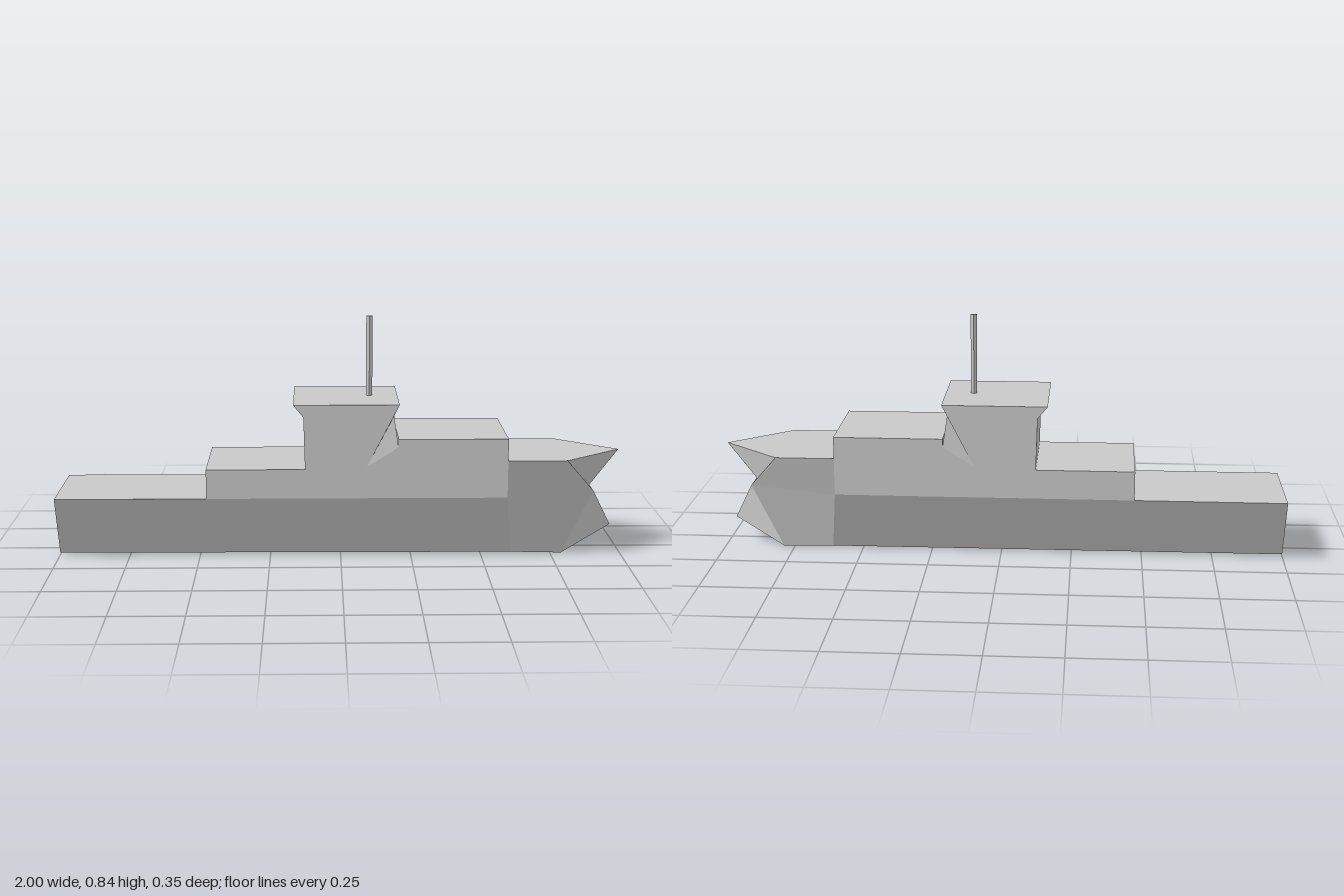
import * as THREE from 'three';

const paint = new THREE.MeshStandardMaterial({ color: 0xc8c8c8 });
paint.name = 'hull grey';

// Flat polygons, each with one shared normal turned towards its "out" direction.
function faces(name, list) {
  const pos = [], nor = [];
  for (let [out, ...pts] of list) {
    const n = new THREE.Vector3();
    pts.forEach((p, i) => {
      const q = pts[(i + 1) % pts.length];
      n.x += (p[1] - q[1]) * (p[2] + q[2]);
      n.y += (p[2] - q[2]) * (p[0] + q[0]);
      n.z += (p[0] - q[0]) * (p[1] + q[1]);
    });
    if (n.dot(new THREE.Vector3(...out)) < 0) {
      n.negate();
      pts = [pts[0], ...pts.slice(1).reverse()];
    }
    n.normalize();
    for (let i = 1; i < pts.length - 1; i++) {
      for (const p of [pts[0], pts[i], pts[i + 1]]) {
        pos.push(...p);
        nor.push(n.x, n.y, n.z);
      }
    }
  }
  const g = new THREE.BufferGeometry();
  g.setAttribute('position', new THREE.Float32BufferAttribute(pos, 3));
  g.setAttribute('normal', new THREE.Float32BufferAttribute(nor, 3));
  const mesh = new THREE.Mesh(g, paint);
  mesh.name = name;
  return mesh;
}

const m = ([x, y, z]) => [x, y, -z];
// A polygon and its mirror image on the other side
const pair = (out, ...pts) => [[out, ...pts], [m(out), ...pts.map(m)]];
// A strip across the ship between a left edge and its mirror
const across = (out, a, b) => [out, a, b, m(b), m(a)];

const UP = [0, 1, 0], DOWN = [0, -1, 0], FORE = [1, 0, 0], AFT = [-1, 0, 0], SIDE = [0, 0, 1];
const W = 0.176;

function box(name, x0, x1, y0, y1) {
  const mesh = new THREE.Mesh(new THREE.BoxGeometry(x1 - x0, y1 - y0, W * 2), paint);
  mesh.position.set((x0 + x1) / 2, (y0 + y1) / 2, 0);
  mesh.name = name;
  return mesh;
}

export function createModel() {
  const ship = new THREE.Group();
  ship.name = 'ship';

  // Main hull with sloping sides
  const sternTop = [-1, 0.228, W], sternLow = [-1, 0.008, 0.087];
  const shoulder = [0.583, 0.228, W], keel = [0.61, 0.004, 0.087];
  ship.add(faces('mainHull', [
    ...pair(SIDE, sternTop, sternLow, keel, shoulder),
    across(UP, sternTop, shoulder),
    across(DOWN, sternLow, keel),
    across(AFT, sternTop, sternLow),
  ]));

  // Raised bow with an overhanging point
  const deckAft = [0.583, 0.36, W], deckFore = [0.79, 0.36, W], tip = [1, 0.36, 0];
  const chin = [0.9, 0.228, 0.088], chinMid = [0.9, 0.228, 0];
  ship.add(faces('raisedBow', [
    [UP, deckAft, deckFore, tip, m(deckFore), m(deckAft)],
    ...pair(SIDE, shoulder, deckAft, deckFore, chin),
    ...pair([1, 0, 1], deckFore, tip, chinMid, chin),
    across(AFT, deckAft, shoulder),
  ]));

  // Lower bow and underwater ram
  const throat = [0.85, 0.142, 0.043], ram = [0.97, 0.093, 0.043], foot = [0.79, 0, 0.087];
  ship.add(faces('lowerBow', [
    ...pair(SIDE, shoulder, keel, foot, chin),
    ...pair([0.3, 0, 1], chin, foot, ram, throat),
    across(FORE, chin, throat),
    across(UP, throat, ram),
    across([1, -1, 0], ram, foot),
    across(DOWN, keel, foot),
  ]));

  // Deck houses
  ship.add(box('aftHouse', -0.47, -0.12, 0.228, 0.332));
  ship.add(box('forwardHouse', 0.2, 0.583, 0.228, 0.438));

  // Bridge tower with flared roof and recessed front
  const notch = [0.09, 0.34, W], roofFore = [0.203, 0.56, W], roofAft = [-0.165, 0.56, W];
  const neckAft = [-0.13, 0.517, W], baseAft = [-0.122, 0.228, W];
  const baseFore = [0.2, 0.228, W], sill = [0.2, 0.41, W], brow = [0.185, 0.517, 0.155];
  ship.add(faces('bridgeTower', [
    ...pair(SIDE, notch, roofFore, roofAft, neckAft, baseAft, baseFore, sill),
    ...pair([1, 0, 0.5], notch, roofFore, brow),
    ...pair([0, 0.3, 1], notch, sill, brow),
    across(UP, roofAft, roofFore),
    across(FORE, roofFore, brow),
    across(FORE, brow, sill),
    across(FORE, sill, baseFore),
    across(AFT, roofAft, neckAft),
    across(AFT, neckAft, baseAft),
  ]));

  // Mast
  const mastShape = new THREE.CylinderGeometry(0.011, 0.011, 0.295, 4).toNonIndexed();
  mastShape.computeVertexNormals();
  const mast = new THREE.Mesh(mastShape, paint);
  mast.scale.z = 0.7;
  mast.position.set(0.103, 0.6975, 0);
  mast.name = 'mast';
  ship.add(mast);

  return ship;
}
